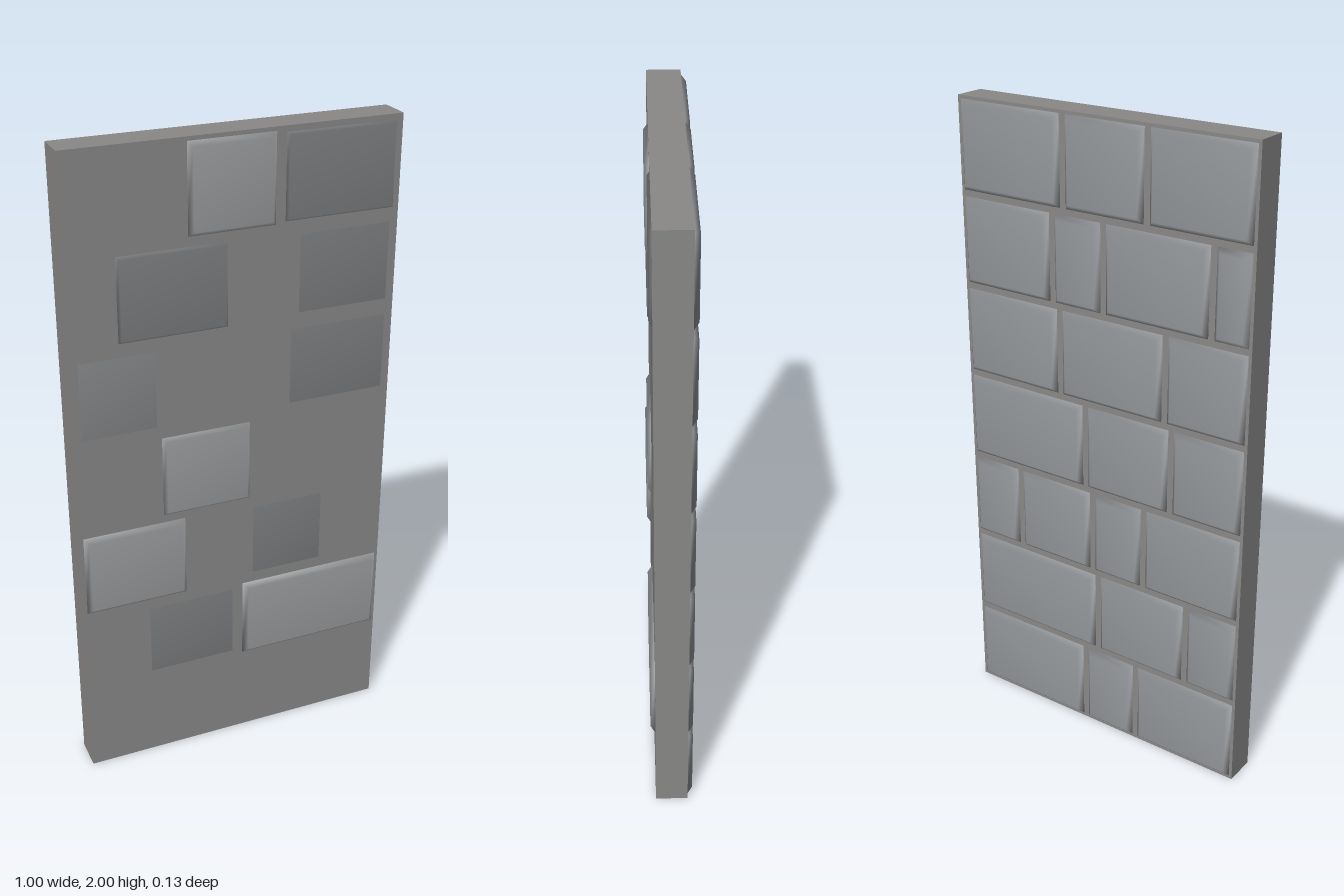
import * as THREE from 'three';
import { mergeVertices } from 'three/addons/utils/BufferGeometryUtils.js';

const WIDTH = 1, HEIGHT = 2, DEPTH = 0.1;
const HALF_GAP = 0.01, BEVEL = 0.015, BACK = -0.065;
const FLUSH = 0.0502; // front face just level with the slab
const SLAB = 0x8a8988, STONE = 0x94979a;
const LIGHT = 0x9a9c9e, MEDIUM = 0x86888a, DARK = 0x7c7e80;

// Courses from bottom to top: x of the joints, and the stones that reach the front
// as [index, front z, color]
const COURSES = [
  { joints: [-0.5, -0.135, 0.06, 0.5], fronts: [] },
  { joints: [-0.5, -0.315, 0.01, 0.5], fronts: [[1, FLUSH, DARK], [2, 0.065, LIGHT]] },
  { joints: [-0.5, -0.158, 0.03, 0.31, 0.5], fronts: [[0, 0.064, LIGHT], [2, FLUSH, DARK]] },
  { joints: [-0.5, -0.25, 0.055, 0.5], fronts: [[1, 0.061, LIGHT]] },
  { joints: [-0.5, -0.225, 0.145, 0.5], fronts: [[0, 0.0505, MEDIUM], [2, FLUSH, DARK]] },
  { joints: [-0.5, -0.372, -0.012, 0.168, 0.5], fronts: [[1, 0.058, DARK], [3, FLUSH, DARK]] },
  { joints: [-0.5, -0.157, 0.127, 0.5], fronts: [[1, 0.063, LIGHT], [2, 0.057, DARK]] },
];

// A stone block whose worn edges blend smoothly into its faces
function stoneGeometry(x0, x1, y0, y1, z0, z1) {
  const shape = new THREE.Shape([
    new THREE.Vector2(x0, y0), new THREE.Vector2(x1, y0),
    new THREE.Vector2(x1, y1), new THREE.Vector2(x0, y1),
  ]);
  const extruded = new THREE.ExtrudeGeometry(shape, {
    depth: z1 - z0 - 2 * BEVEL,
    bevelEnabled: true,
    bevelThickness: BEVEL,
    bevelSize: BEVEL,
    bevelOffset: -BEVEL,
    bevelSegments: 1,
  });
  extruded.deleteAttribute('uv');
  extruded.deleteAttribute('normal');
  const geometry = mergeVertices(extruded);
  geometry.clearGroups();
  geometry.computeVertexNormals();
  return geometry.translate(0, 0, z0 + BEVEL);
}

function addMesh(parent, name, geometry, color) {
  const mesh = new THREE.Mesh(geometry, new THREE.MeshStandardMaterial({ color }));
  mesh.name = name;
  parent.add(mesh);
  return mesh;
}

export function createModel() {
  const group = new THREE.Group();
  group.name = 'stoneWall';

  // Mortar slab
  const slab = addMesh(group, 'slab', new THREE.BoxGeometry(WIDTH, HEIGHT, DEPTH), SLAB);
  slab.position.y = HEIGHT / 2;

  // Stones set into the slab, course by course
  const rowHeight = HEIGHT / COURSES.length;
  COURSES.forEach(({ joints, fronts }, row) => {
    const course = new THREE.Group();
    course.name = `course${row + 1}`;
    group.add(course);
    const stone = (i, z0, z1) => stoneGeometry(
      joints[i] + HALF_GAP, joints[i + 1] - HALF_GAP,
      row * rowHeight + HALF_GAP, (row + 1) * rowHeight - HALF_GAP,
      z0, z1,
    );
    // Full course on the back
    for (let i = 0; i < joints.length - 1; i++) {
      addMesh(course, `backStone${i + 1}`, stone(i, BACK, 0), STONE);
    }
    // Few stones showing on the front
    for (const [i, front, color] of fronts) {
      addMesh(course, `frontStone${i + 1}`, stone(i, 0, front), color);
    }
  });

  return group;
}
